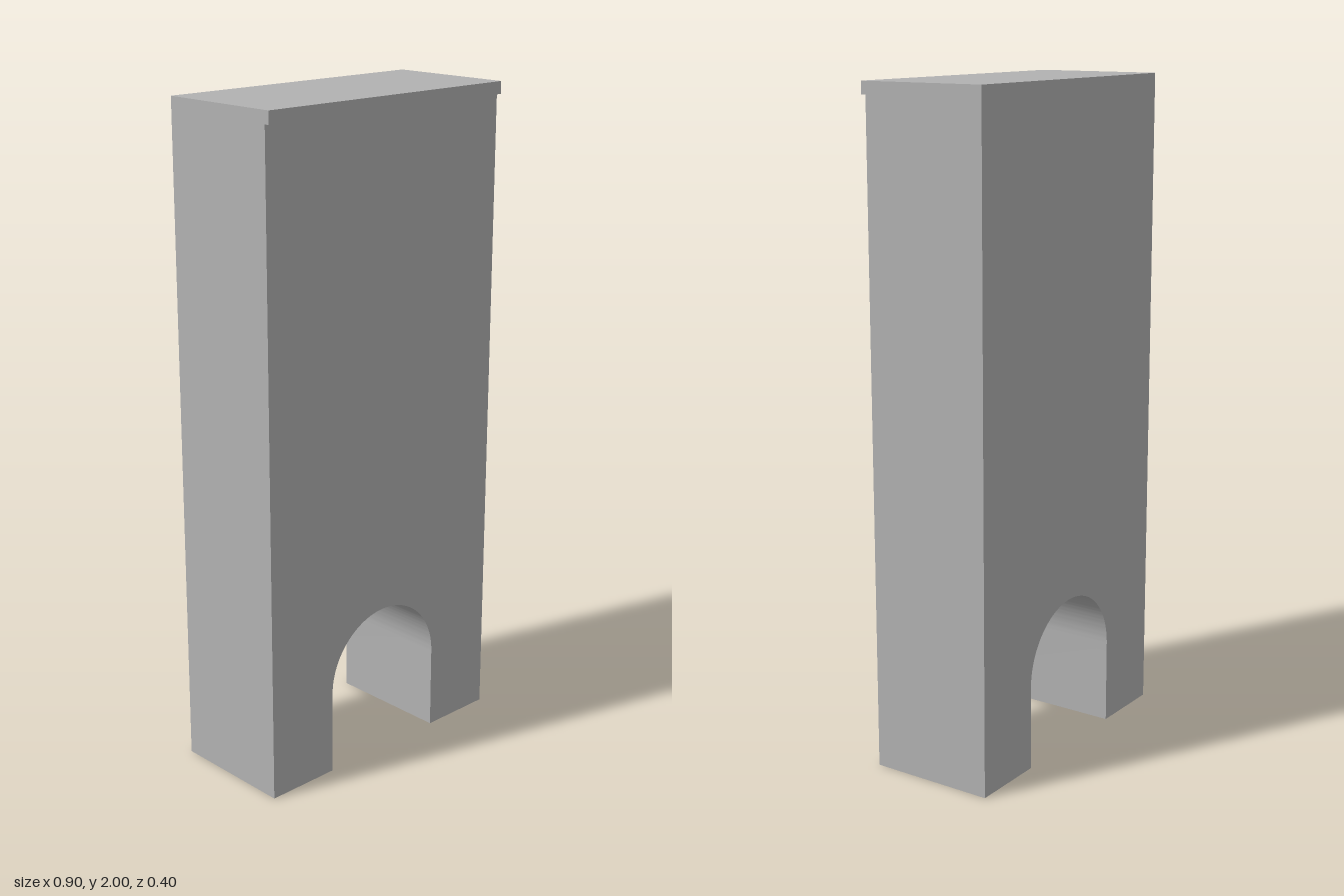
import * as THREE from 'three';
import { toCreasedNormals } from 'three/addons/utils/BufferGeometryUtils.js';

const HALF_W = 0.448, HEIGHT = 2, BACK = -0.2, FACE = 0.185, FRONT = 0.2;
const ARCH_R = 0.213, SPRING = 0.255, LIP_H = 0.037;

export function createModel() {
  const model = new THREE.Group();
  const stone = new THREE.MeshStandardMaterial({ color: 0xb2b2b2 });
  stone.name = 'grey stone';

  // Upright slab with a round-headed opening at its foot
  const outline = new THREE.Shape();
  outline.moveTo(-HALF_W, 0);
  outline.lineTo(-ARCH_R, 0);
  outline.lineTo(-ARCH_R, SPRING);
  outline.absarc(0, SPRING, ARCH_R, Math.PI, 0, true);
  outline.lineTo(ARCH_R, 0);
  outline.lineTo(HALF_W, 0);
  outline.lineTo(HALF_W, HEIGHT);
  outline.lineTo(-HALF_W, HEIGHT);
  outline.closePath();
  const slab = new THREE.ExtrudeGeometry(outline, {
    depth: FACE - BACK, bevelEnabled: false, curveSegments: 48,
  });
  slab.translate(0, 0, BACK);
  const wall = new THREE.Mesh(toCreasedNormals(slab, Math.PI / 6), stone);
  wall.name = 'archedWall';
  model.add(wall);

  // Thin lip along the top front edge
  const lip = new THREE.Mesh(new THREE.BoxGeometry(HALF_W * 2, LIP_H, FRONT - FACE), stone);
  lip.name = 'topLip';
  lip.position.set(0, HEIGHT - LIP_H / 2, (FRONT + FACE) / 2);
  model.add(lip);

  return model;
}
